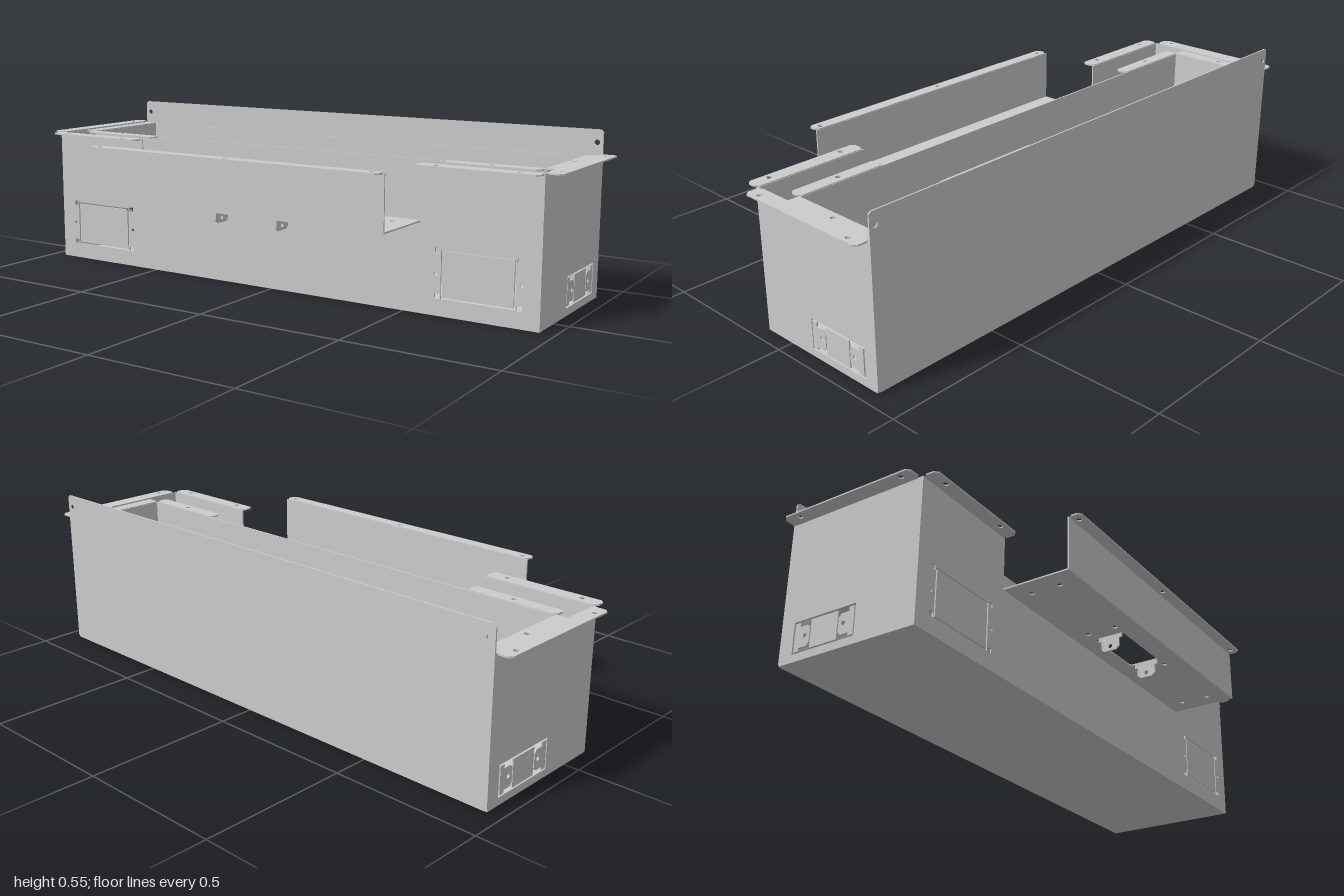
import * as THREE from 'three';

const T = 0.005; // sheet thickness
const mat = new THREE.MeshStandardMaterial({ color: 0xcccccc, side: THREE.DoubleSide });

// Outlines in the plane of a sheet
const rect = (u0, v0, u1, v1) => [[u0, v0], [u1, v0], [u1, v1], [u0, v1]];
const box = (u, v, w, h) => rect(u - w / 2, v - h / 2, u + w / 2, v + h / 2);
const circle = (u, v, r = 0.009) => Array.from({ length: 16 }, (_, i) => {
  const a = (i / 16) * Math.PI * 2;
  return [u + r * Math.cos(a), v + r * Math.sin(a)];
});
const chamfered = (u0, v0, u1, v1, c = 0.012) => [
  [u0 + c, v0], [u1 - c, v0], [u1, v0 + c], [u1, v1 - c],
  [u1 - c, v1], [u0 + c, v1], [u0, v1 - c], [u0, v0 + c],
];
const toPoints = (pts) => pts.map(([u, v]) => new THREE.Vector2(u, v));

export function createModel() {
  const model = new THREE.Group();

  // Flat sheet normal to an axis: 'x' uses (z, y), 'y' uses (x, z), 'z' uses (x, y)
  function sheet(name, axis, at, outline, holes = []) {
    const shape = new THREE.Shape(toPoints(outline));
    holes.forEach((h) => shape.holes.push(new THREE.Path(toPoints(h))));
    const g = new THREE.ExtrudeGeometry(shape, { depth: T, bevelEnabled: false });
    g.translate(0, 0, -T / 2);
    if (axis === 'x') g.rotateY(-Math.PI / 2).translate(at, 0, 0);
    if (axis === 'y') g.rotateX(Math.PI / 2).translate(0, at, 0);
    if (axis === 'z') g.translate(0, 0, at);
    const mesh = new THREE.Mesh(g, mat);
    mesh.name = name;
    model.add(mesh);
  }

  // Outer housing
  const top = 0.468, shelfY = 0.29;
  sheet('housingFloor', 'y', T / 2, rect(-0.95, -0.38, 0.95, 0.11));
  sheet('backWall', 'z', -0.38, chamfered(-0.95, 0, 0.95, 0.55, 0.008),
    [circle(-0.93, 0.508), circle(0.93, 0.508)]);

  // Front wall with a wide notch and two knockouts
  const frontHoles = [];
  for (const s of [-1, 1]) {
    const cx = 0.75 * s;
    frontHoles.push(box(cx, 0.133, 0.244, 0.156));
    for (const e of [-1, 1]) {
      frontHoles.push(circle(cx + e * 0.14, 0.133, 0.006));
      for (const y of [0.062, 0.208]) frontHoles.push(box(cx + e * 0.134, y, 0.018, 0.016));
    }
    sheet('frontKnockout', 'z', 0.11, box(cx, 0.133, 0.234, 0.146));
  }
  sheet('frontWall', 'z', 0.11, [
    [-0.95, 0], [0.95, 0], [0.95, top], [0.555, top], [0.555, shelfY],
    [-0.555, shelfY], [-0.555, top], [-0.95, top],
  ], frontHoles);

  for (const s of [-1, 1]) {
    // Side wall with a cable opening and its removable pieces
    sheet('sideWall', 'x', s * 0.9475, rect(-0.38, 0, 0.11, top), [rect(-0.333, 0.025, -0.102, 0.126)]);
    sheet('sideKnockout', 'x', s * 0.9475, rect(-0.267, 0.03, -0.166, 0.12));
    for (const e of [-1, 1]) {
      const u = (d) => -0.2165 + e * d;
      sheet('cableTab', 'x', s * 0.9475, [
        [u(0.054), 0.05], [u(0.064), 0.04], [u(0.092), 0.04], [u(0.092), 0.03],
        [u(0.111), 0.03], [u(0.111), 0.12], [u(0.092), 0.12], [u(0.092), 0.107],
        [u(0.064), 0.107], [u(0.054), 0.097],
      ], [circle(u(0.072), 0.075, 0.007)]);
    }

    // Outward mounting flanges
    const xs = (a, b) => [Math.min(s * a, s * b), Math.max(s * a, s * b)];
    const [a0, a1] = xs(0.945, 1);
    sheet('sideFlange', 'y', top, chamfered(a0, -0.38, a1, 0.1),
      [circle(s * 0.98, -0.33), circle(s * 0.98, 0.055)]);
    const [b0, b1] = xs(0.555, 0.95);
    sheet('frontFlange', 'y', top, chamfered(b0, 0.11, b1, 0.16),
      [circle(s * 0.885, 0.14), circle(s * 0.62, 0.14)]);

    // Inner liner end wall with its top flanges
    sheet('linerEndWall', 'x', s * 0.9, rect(-0.372, 0.24, -0.02, top - T));
    const [c0, c1] = xs(0.9, 0.945);
    sheet('linerEndFlange', 'y', top - T, rect(c0, -0.372, c1, -0.02), [circle(s * 0.925, -0.2)]);
    const [d0, d1] = xs(0.585, 0.9);
    sheet('linerFrontFlange', 'y', top - T, chamfered(d0, -0.02, d1, 0.025), [circle(s * 0.74, 0.005)]);
  }

  // Inner liner: back wall, partition and floor with device knockouts
  const linerY = 0.24;
  sheet('linerBackWall', 'z', -0.372, rect(-0.9, linerY, 0.9, top - T));
  sheet('partition', 'z', -0.02, rect(-0.9, linerY, 0.9, top - T));
  const floorHoles = [];
  for (const x of [-0.597, -0.2, 0.197, 0.59]) {
    floorHoles.push(box(x, -0.2, 0.252, 0.182));
    for (const e of [-1, 1]) floorHoles.push(circle(x + e * 0.142, -0.2, 0.006));
    floorHoles.push(box(x + 0.03, -0.33, 0.07, 0.01), box(x + 0.03, -0.07, 0.07, 0.01));
    sheet('deviceKnockout', 'y', linerY, box(x, -0.2, 0.242, 0.172));
  }
  for (const x of [-0.385, 0.415, 0.8]) floorHoles.push(box(x, -0.215, 0.03, 0.035));
  sheet('linerFloor', 'y', linerY, rect(-0.9, -0.372, 0.9, -0.02), floorHoles);

  // Raised device frame inside the liner
  const frameTop = 0.36;
  sheet('deviceFrameTop', 'y', frameTop, rect(-0.008, -0.33, 0.4, -0.065), [[
    [0.07, -0.28], [0.325, -0.28], [0.325, -0.23], [0.338, -0.23], [0.338, -0.165], [0.325, -0.165],
    [0.325, -0.11], [0.07, -0.11], [0.07, -0.165], [0.056, -0.165], [0.056, -0.23], [0.07, -0.23],
  ]]);
  for (const x of [-0.006, 0.398]) sheet('deviceFrameSide', 'x', x, rect(-0.33, linerY, -0.065, frameTop));
  for (const z of [-0.328, -0.067]) sheet('deviceFrameSide', 'z', z, rect(-0.008, linerY, 0.4, frameTop));

  // Front tray: shelf, upright and lip
  const shelfHoles = [chamfered(-0.117, 0.168, 0.117, 0.272, 0.008)];
  for (const x of [-0.49, -0.165, 0.165, 0.49]) for (const z of [0.17, 0.27]) shelfHoles.push(circle(x, z));
  sheet('trayShelf', 'y', shelfY, rect(-0.555, 0.11, 0.555, 0.342), shelfHoles);
  sheet('trayUpright', 'z', 0.341, rect(-0.555, shelfY, 0.555, top));
  sheet('trayLip', 'y', top, chamfered(-0.555, 0.34, 0.555, 0.383),
    [-0.525, 0, 0.525].map((x) => circle(x, 0.36)));

  // Tabs folded down at the ends of the tray opening
  for (const s of [-1, 1]) {
    sheet('trayTab', 'x', s * 0.12, [
      [0.184, shelfY], [0.184, 0.273], [0.194, 0.273], [0.194, 0.245], [0.204, 0.234], [0.248, 0.234],
      [0.26, 0.245], [0.26, 0.273], [0.27, 0.273], [0.27, shelfY],
    ], [circle(0.227, 0.25, 0.007)]);
  }
  return model;
}
